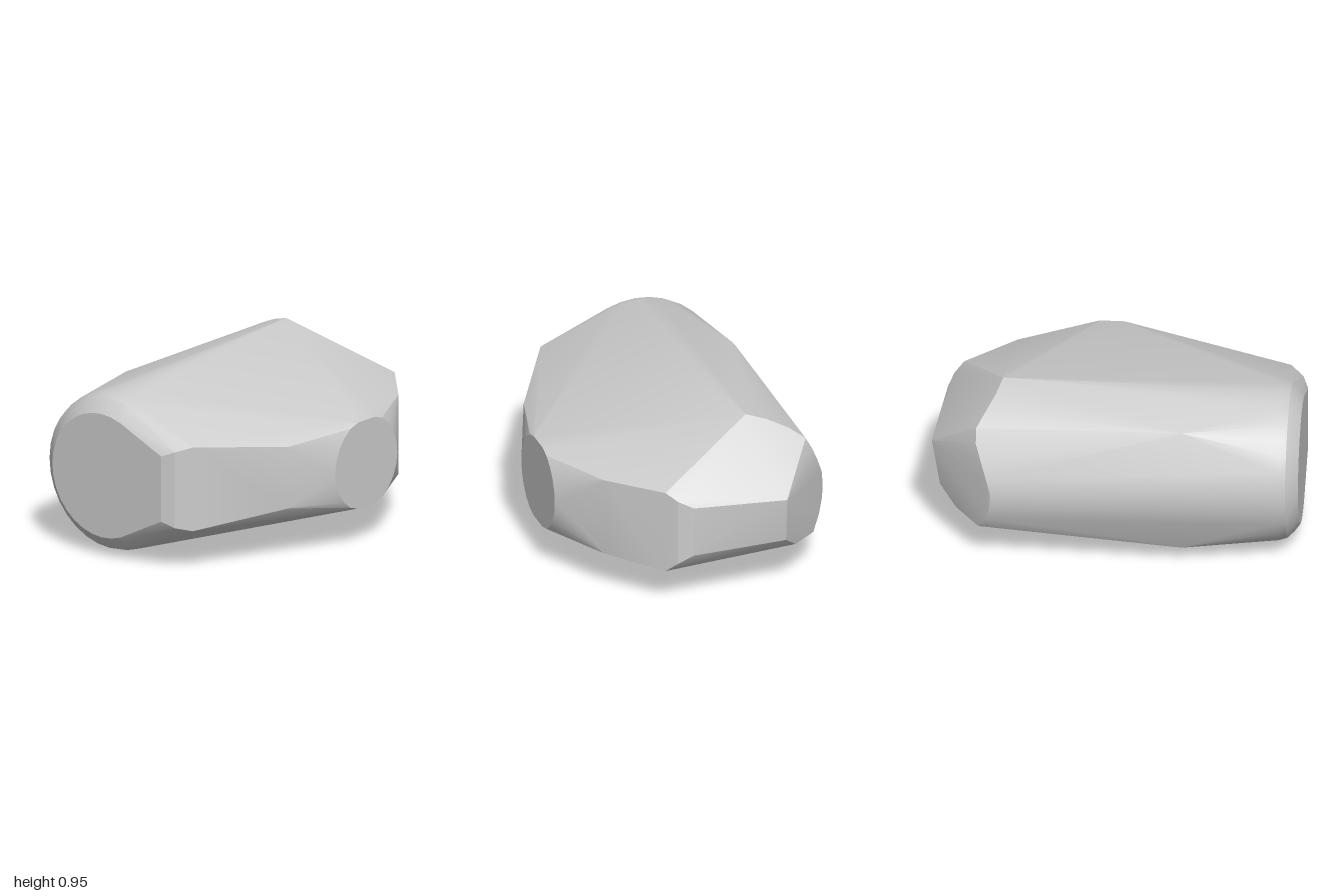
import * as THREE from 'three';
import { ConvexGeometry } from 'three/addons/geometries/ConvexGeometry.js';
import { toCreasedNormals } from 'three/addons/utils/BufferGeometryUtils.js';

const MID = 0.465; // height of the drum axis and front opening

export function createModel() {
  const points = [];
  const add = (x, y, z) => points.push(new THREE.Vector3(x, y, z));
  // upright edge: two corners sharing x and z
  const edge = (x, z, low, high) => { add(x, low, z); add(x, high, z); };

  // rounded end of the drum, lying along x
  for (const [x, r] of [[-1, 0.35], [-0.97, 0.39], [-0.935, 0.425], [-0.89, 0.44]]) {
    for (let i = 0; i < 32; i++) {
      const a = (i / 32) * Math.PI * 2;
      add(x, MID + r * Math.cos(a), -0.23 + r * Math.sin(a));
    }
  }

  // round front face, flattened at top and bottom
  for (let i = 0; i < 24; i++) {
    const a = (i / 24) * Math.PI * 2;
    const y = THREE.MathUtils.clamp(0.26 * Math.sin(a), -0.243, 0.245);
    add(0.1 + 0.26 * Math.cos(a), MID + y, 0.715);
  }

  // front wall, from the drum end round to the pointed side
  edge(-1, 0.19, 0.29, 0.66);
  edge(-0.97, 0.26, 0.26, 0.69);
  edge(-0.9, 0.33, 0.24, 0.715);
  edge(-0.42, 0.605, 0.31, 0.66);
  edge(0.6, 0.52, 0.24, 0.69);
  edge(0.57, 0.53, 0.25, 0.68);
  edge(0.87, 0.265, 0.22, 0.7);
  edge(0.92, 0.21, 0.28, 0.66);
  edge(0.95, 0.13, 0.33, 0.62);

  // slanted end face: side tip, upper arc, back and lower edge
  add(1, 0.6, -0.39);
  for (const p of [
    [0.62, 0.955, -0.29], [0.65, 0.92, -0.4], [0.7, 0.87, -0.51], [0.745, 0.815, -0.59],
    [0.745, 0.74, -0.63], [0.715, 0.65, -0.67], [0.685, 0.56, -0.705], [0.66, 0.47, -0.72],
    [0.665, 0.39, -0.715], [0.685, 0.3, -0.69], [0.73, 0.22, -0.64], [0.86, 0.24, -0.49],
    [0.955, 0.33, -0.4],
  ]) add(...p);

  // belly of the drum and shoulder corners at the back
  for (const [y, z] of [[0.008, -0.14], [0, -0.23], [0.008, -0.32], [0.035, -0.42]]) add(-0.3, y, z);
  edge(-0.37, -0.59, 0.1, 0.83);

  const body = new THREE.Mesh(
    toCreasedNormals(new ConvexGeometry(points), 0.35),
    new THREE.MeshStandardMaterial({ color: 0xcccccc })
  );
  body.name = 'body';

  const group = new THREE.Group();
  group.name = 'hullShape';
  group.add(body);
  return group;
}
